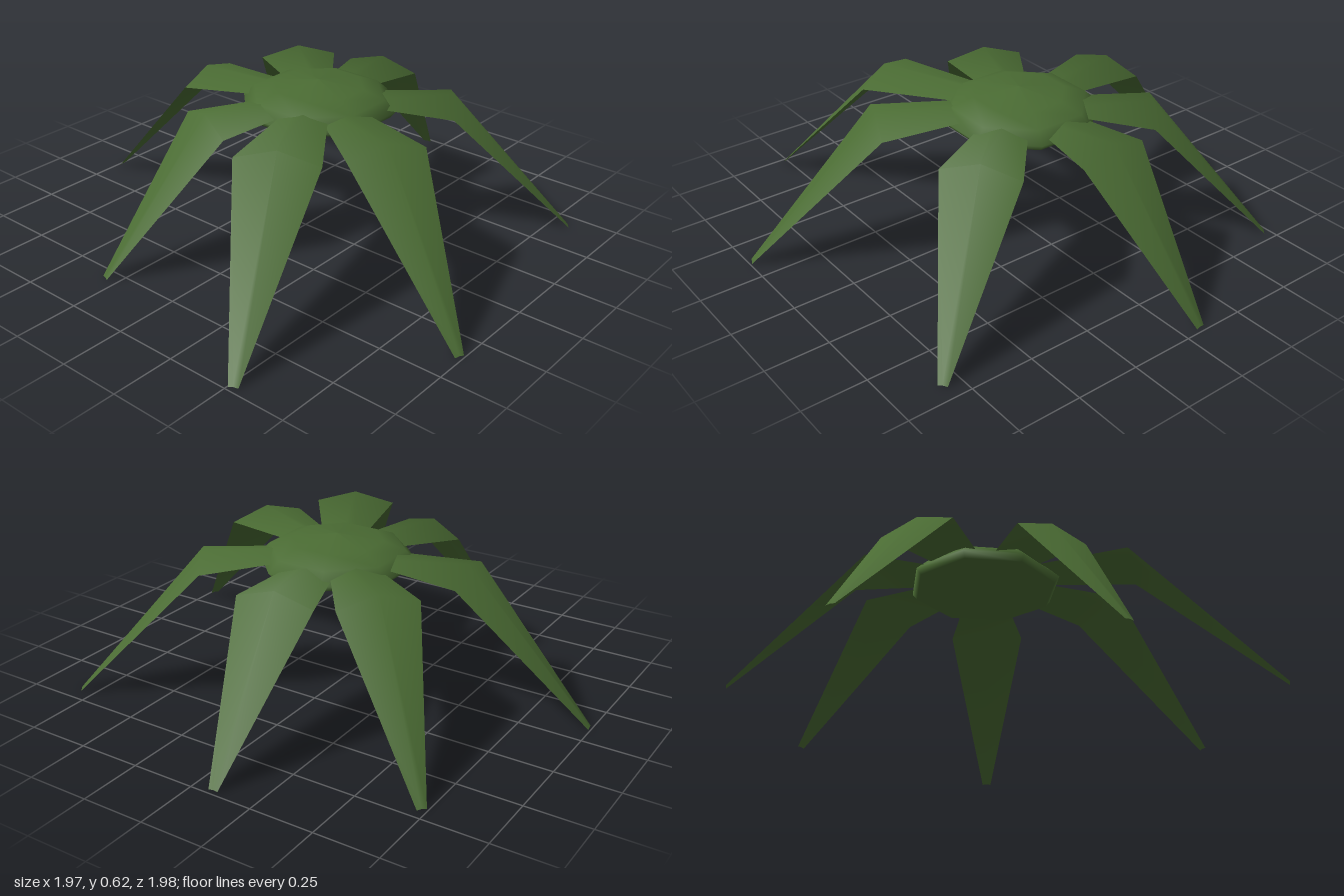
import * as THREE from 'three';

// Each frond: two shoulder corners [x, z], tip [x, z], ridge height at the shoulder
const FRONDS = [
  { a: [-0.18, -0.48], b: [0.13, -0.53], tip: [-0.105, -0.99], y: 0.575 },
  { a: [0.27, -0.47], b: [0.51, -0.27], tip: [0.7, -0.73], y: 0.575 },
  { a: [0.525, -0.19], b: [0.56, 0.12], tip: [0.98, -0.08], y: 0.565 },
  { a: [0.5, 0.34], b: [0.25, 0.52], tip: [0.68, 0.82], y: 0.57 },
  { a: [-0.02, 0.58], b: [-0.31, 0.45], tip: [-0.365, 0.985], y: 0.577 },
  { a: [-0.41, 0.42], b: [-0.55, 0.13], tip: [-0.98, 0.52], y: 0.592 },
  { a: [-0.45, -0.01], b: [-0.34, -0.3], tip: [-0.8, -0.31], y: 0.577 },
];
const CENTRE = new THREE.Vector3(0.06, 0, 0.015);

// One thin arched leaf: rows at root, shoulder and tip, each left edge - ridge - right edge
function frondGeometry({ a, b, tip, y }) {
  const left = new THREE.Vector3(a[0], y - 0.045, a[1]);
  const right = new THREE.Vector3(b[0], y - 0.045, b[1]);
  const ridge = left.clone().lerp(right, 0.5).setY(y);
  const end = new THREE.Vector3(tip[0], 0.003, tip[1]);
  const out = ridge.clone().sub(CENTRE).setY(0).normalize();
  const root = CENTRE.clone().addScaledVector(out, 0.06).setY(0.565);

  const row = (mid, width, drop, dir) => {
    const side = new THREE.Vector3(-dir.z, 0, dir.x).multiplyScalar(width / 2);
    const edge = (s) => mid.clone().addScaledVector(side, s).setY(mid.y - drop);
    return [edge(-1), mid, edge(1)];
  };
  const tipDir = end.clone().sub(ridge).setY(0).normalize();
  const points = [
    ...row(root, 0.12, 0.015, out),
    left, ridge, right,
    ...row(end, 0.036, 0.003, tipDir),
  ];

  const index = [];
  for (let r = 0; r < 2; r++) {
    for (let c = 0; c < 2; c++) {
      const i = r * 3 + c;
      index.push(i, i + 1, i + 3, i + 1, i + 4, i + 3);
    }
  }
  const geometry = new THREE.BufferGeometry().setFromPoints(points);
  geometry.setIndex(index);
  geometry.computeVertexNormals();
  return geometry;
}

export function createModel() {
  const model = new THREE.Group();
  model.name = 'palmCrown';
  const leafGreen = new THREE.MeshStandardMaterial({ color: 0x4a6b33, side: THREE.DoubleSide });
  leafGreen.name = 'leafGreen';

  // Flattened eight-sided heart with a flat underside
  const profile = [
    [0, 0.5], [0.29, 0.5], [0.31, 0.525], [0.265, 0.567], [0.18, 0.6], [0, 0.622],
  ].map(([r, y]) => new THREE.Vector2(r, y));
  const heart = new THREE.Mesh(new THREE.LatheGeometry(profile, 8, Math.PI / 8), leafGreen);
  heart.name = 'crownHeart';
  heart.position.copy(CENTRE);
  model.add(heart);

  // Drooping fronds around the heart
  FRONDS.forEach((frond, i) => {
    const mesh = new THREE.Mesh(frondGeometry(frond), leafGreen);
    mesh.name = `frond${i + 1}`;
    model.add(mesh);
  });
  return model;
}
